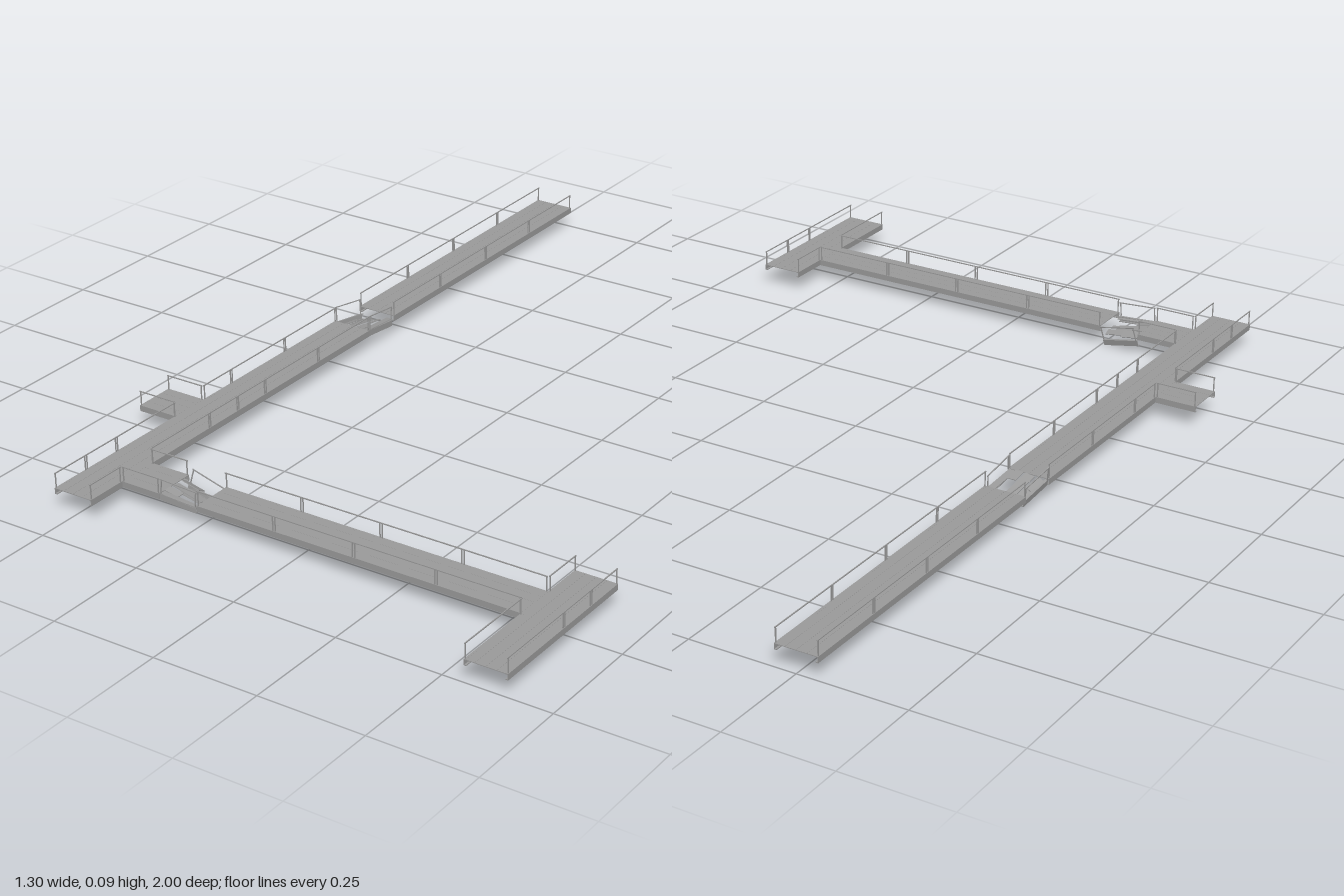
import * as THREE from 'three';

const DECK = 0.052, HALF = 0.05, RAIL = 0.034, T = 0.0022;

export function createModel() {
  const model = new THREE.Group();
  model.name = 'brokenCatwalk';
  const metal = new THREE.MeshStandardMaterial({ color: 0x9c9c9c, flatShading: true });

  function box(parent, name, w, h, d, x, y, z) {
    const m = new THREE.Mesh(new THREE.BoxGeometry(w, h, d), metal);
    m.name = name;
    m.position.set(x, y, z);
    parent.add(m);
  }

  // C-channel side beam running along local +x, top at y = 0, open towards the deck
  function beam(parent, len, side) {
    const s = new THREE.Shape();
    [[0, 0], [0.006, 0], [0.006, -0.002], [0.0015, -0.002], [0.0015, -0.012],
      [0.006, -0.012], [0.006, -0.014], [0, -0.014]]
      .forEach(([a, b], i) => (i ? s.lineTo(a, b) : s.moveTo(a, b)));
    const g = new THREE.ExtrudeGeometry(s, { depth: len, bevelEnabled: false });
    g.rotateY(Math.PI / 2); // depth -> +x, profile -> -z
    if (side < 0) { g.rotateY(Math.PI); g.translate(len, 0, 0); }
    const m = new THREE.Mesh(g, metal);
    m.name = 'sideBeam';
    parent.add(m);
  }

  // Two posts and one top bar
  function railing(parent, len) {
    for (const x of [0.003, len - 0.003]) box(parent, 'railPost', T, RAIL, T, x, RAIL / 2, 0);
    box(parent, 'topRail', len, T, T, len / 2, RAIL, 0);
  }

  // Section starts at (x, z) and runs along local +x after turning
  function frame(name, x, z, turn) {
    const g = new THREE.Group();
    g.name = name;
    g.position.set(x, DECK, z);
    g.rotation.y = turn;
    model.add(g);
    return g;
  }

  // Intact section: four planks, and a beam with railing on each listed side
  function section(x, z, len, turn = 0, sides = [-1, 1]) {
    const g = frame('walkwaySection', x, z, turn);
    for (let i = 0; i < 4; i++) {
      box(g, 'deckPlank', len, 0.0015, 0.0246, len / 2, -0.0008, -0.0375 + i * 0.025);
    }
    for (const s of sides) {
      const edge = new THREE.Group();
      edge.name = 'railedEdge';
      edge.position.z = s * HALF;
      beam(edge, len, s);
      g.add(edge);
      const rail = new THREE.Group();
      rail.name = 'railing';
      rail.position.z = s * (HALF - 0.002);
      railing(rail, len);
      g.add(rail);
    }
  }

  // Collapsed section: loose beams, planks and rails sagging along local +x
  function brokenSection(x, z, turn, sag, hang, fall) {
    const g = frame('brokenSection', x, z, turn);
    const tilted = (name, px, py, pz, yaw, pitch, roll) => {
      const t = new THREE.Group();
      t.name = name;
      t.position.set(px, py, pz);
      t.rotation.set(roll, yaw, -pitch);
      g.add(t);
      return t;
    };
    // fallen edge and hanging edge
    const low = tilted('fallenEdge', 0.001, -fall, -0.048, -0.03, sag, -0.15);
    beam(low, 0.096, -1);
    railing(low, 0.096);
    const high = tilted('hangingEdge', 0, -0.001, 0.048, 0.02, hang, -0.05);
    beam(high, 0.096, 1);
    railing(high, 0.096);
    // bent, torn planks: [start, length, across, width, drop, pitch, roll]
    [[0, 0.05, -0.035, 0.022, 0.008, 0.8, -0.5], [0.03, 0.068, -0.024, 0.018, 0.014, 0.9, -0.4],
      [0, 0.08, -0.004, 0.022, 0.002, 1, -0.2], [0.02, 0.078, 0.006, 0.01, 0.01, 0.8, -0.2],
      [0, 0.035, 0.022, 0.02, 0, 1, 0], [0, 0.096, 0.039, 0.016, 0.002, 0.4, -0.1]]
      .forEach(([s, l, v, w, d, p, r]) => {
        const t = tilted('tornPlank', s, -d, v, 0, p * sag, r);
        box(t, 'plankPiece', l, 0.0015, w, l / 2, 0, 0);
      });
  }

  const ALONG_Z = -Math.PI / 2; // local +x -> +z, local +z -> -x

  // Main walkway, [start z, length, railed sides]
  [[-1, 0.2], [-0.8, 0.2], [-0.6, 0.2], [-0.4, 0.2], [-0.1, 0.2], [0.1, 0.2], [0.3, 0.1],
    [0.4, 0.1, [-1]], [0.5, 0.2], [0.7, 0.1, [1]], [0.8, 0.1]]
    .forEach(([z, len, sides]) => section(-0.5, z, len, ALONG_Z, sides));
  brokenSection(-0.5, -0.1, Math.PI / 2, 0.15, 0.11, 0.002);

  // Side stub
  section(-0.65, 0.45, 0.1);

  // Branch walkway
  section(-0.45, 0.75, 0.1);
  brokenSection(-0.35, 0.75, 0, 0.22, 0.06, 0.0182);
  for (let i = 0; i < 4; i++) section(-0.25 + i * 0.2, 0.75, 0.2);

  // End platform across the branch
  [[0.6, 0.1], [0.7, 0.1, [-1]], [0.8, 0.2]]
    .forEach(([z, len, sides]) => section(0.6, z, len, ALONG_Z, sides));

  return model;
}
